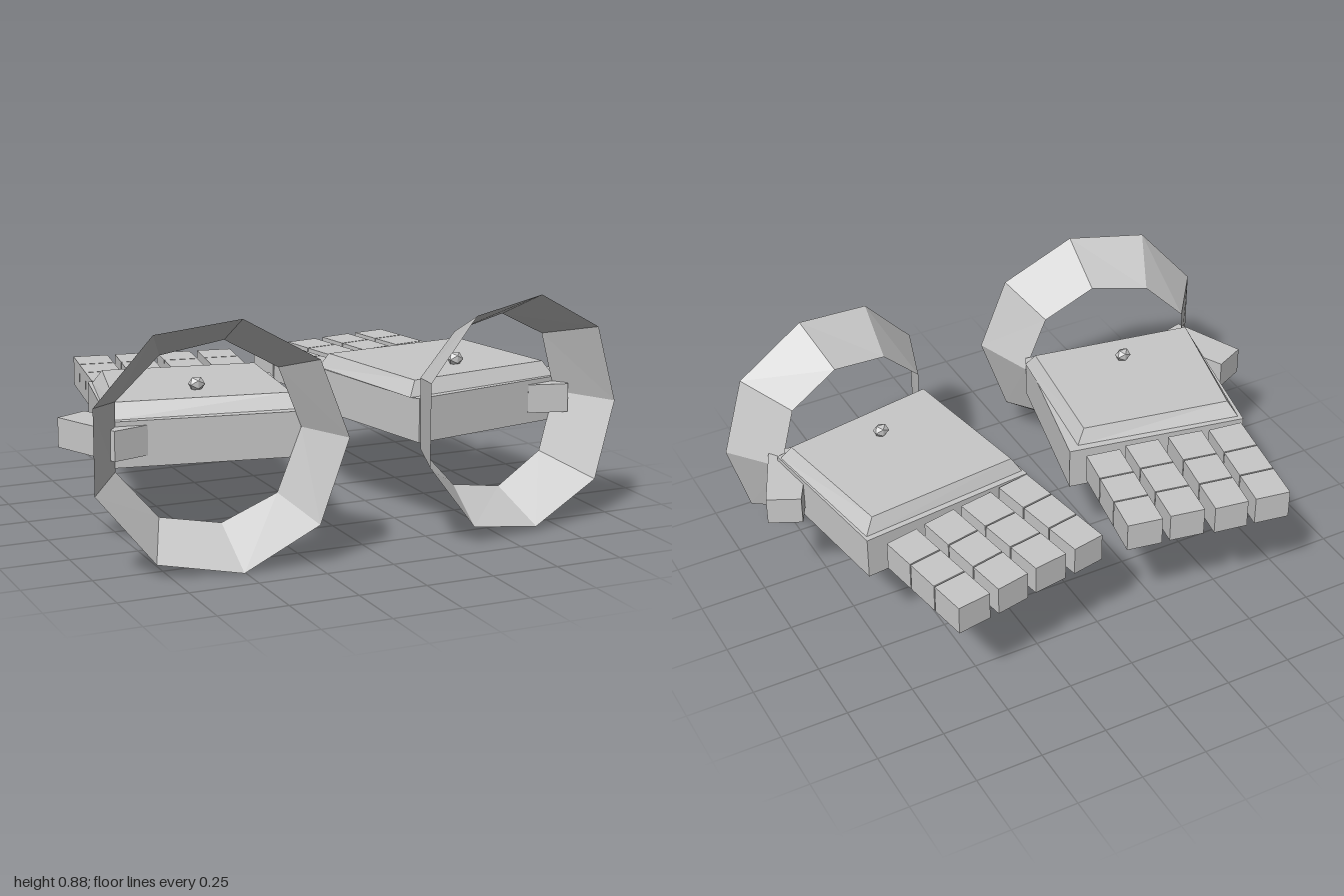
import * as THREE from 'three';

const grey = new THREE.MeshStandardMaterial({ color: 0xc8c8c8, side: THREE.DoubleSide });
grey.name = 'light grey';

// Flat-faced skin over a stack of rings, each ring a list of [x, y, z]
function loft(name, rings, capped = true) {
  const p = [], n = rings[0].length;
  const tri = (...v) => v.forEach((c) => p.push(...c));
  for (let k = 0; k + 1 < rings.length; k++) {
    const a = rings[k], b = rings[k + 1];
    for (let i = 0; i < n; i++) {
      const j = (i + 1) % n;
      tri(a[i], a[j], b[j]);
      tri(a[i], b[j], b[i]);
    }
  }
  if (capped) {
    const lo = rings[0], hi = rings[rings.length - 1];
    for (let i = 1; i + 1 < n; i++) {
      tri(lo[0], lo[i + 1], lo[i]);
      tri(hi[0], hi[i], hi[i + 1]);
    }
  }
  const g = new THREE.BufferGeometry();
  g.setAttribute('position', new THREE.Float32BufferAttribute(p, 3));
  g.computeVertexNormals();
  const m = new THREE.Mesh(g, grey);
  m.name = name;
  return m;
}

// Plan corners run back-left, back-right, front-right, front-left
const level = (plan, y) => plan.map(([x, z]) => [x, y, z]).reverse();
const slab = (name, plan, y0, y1) => loft(name, [level(plan, y0), level(plan, y1)]);
const mix = (a, b, t) => [a[0] + (b[0] - a[0]) * t, a[1] + (b[1] - a[1]) * t];

function finger(plan) {
  const g = new THREE.Group();
  g.name = 'finger';
  const [bl, br, fr, fl] = plan, gap = 0.006;
  for (let s = 0; s < 3; s++) {
    const t0 = s / 3 + (s ? gap : 0), t1 = (s + 1) / 3 - (s < 2 ? gap : 0);
    g.add(slab('fingerSegment', [mix(bl, fl, t0), mix(br, fr, t0), mix(br, fr, t1), mix(bl, fl, t1)], 0.393, 0.503));
  }
  return g;
}

function hand(name, d) {
  const g = new THREE.Group();
  g.name = name;
  // Palm block with a bevelled back plate
  g.add(loft('palm', [level(d.base, 0.343), level(d.base, 0.505), level(d.plate, 0.505), level(d.top, 0.558)]));
  d.fingers.forEach((f) => g.add(finger(f)));
  g.add(slab('thumb', d.thumb, 0.382, 0.488));
  // Flared open cuff
  const ring = (pts, [z0, slope]) => pts.map(([x, y]) => [x, y, z0 + slope * x]);
  g.add(loft('cuff', [ring(d.cuffInner, d.innerPlane), ring(d.cuffOuter, d.outerPlane)], false));
  // Small stud on the back of the hand
  const stud = new THREE.Mesh(new THREE.IcosahedronGeometry(1, 0), grey);
  stud.name = 'stud';
  stud.scale.set(0.032, 0.027, 0.024);
  stud.position.set(d.studX, 0.577, 0.228);
  g.add(stud);
  return g;
}

const rightHand = {
  base: [[-0.755, -0.257], [-0.085, -0.13], [-0.225, 0.475], [-0.88, 0.36]],
  plate: [[-0.745, -0.235], [-0.13, -0.11], [-0.205, 0.44], [-0.875, 0.335]],
  top: [[-0.72, -0.195], [-0.165, -0.09], [-0.23, 0.405], [-0.84, 0.3]],
  fingers: [
    [[-0.665, -0.705], [-0.535, -0.683], [-0.605, -0.255], [-0.735, -0.272]],
    [[-0.505, -0.68], [-0.38, -0.66], [-0.45, -0.22], [-0.58, -0.245]],
    [[-0.345, -0.645], [-0.218, -0.622], [-0.285, -0.192], [-0.41, -0.215]],
    [[-0.187, -0.62], [-0.058, -0.597], [-0.128, -0.178], [-0.255, -0.2]],
  ],
  thumb: [[-1, 0.155], [-0.885, 0.1], [-0.745, 0.38], [-0.885, 0.42]],
  cuffOuter: [[-0.8, 0.84], [-0.505, 0.88], [-0.245, 0.73], [-0.145, 0.455], [-0.245, 0.155], [-0.505, 0.003], [-0.8, 0.055], [-1, 0.305], [-1, 0.605]],
  cuffInner: [[-0.71, 0.727], [-0.49, 0.77], [-0.305, 0.665], [-0.225, 0.45], [-0.31, 0.22], [-0.505, 0.125], [-0.72, 0.16], [-0.865, 0.33], [-0.86, 0.575]],
  outerPlane: [0.727, 0.182],
  innerPlane: [0.517, 0.18],
  studX: -0.515,
};

const leftHand = {
  base: [[0.112, -0.168], [0.78, -0.242], [0.868, 0.35], [0.233, 0.475]],
  plate: [[0.122, -0.145], [0.772, -0.22], [0.86, 0.335], [0.21, 0.448]],
  top: [[0.155, -0.125], [0.735, -0.19], [0.825, 0.312], [0.245, 0.412]],
  fingers: [
    [[0.045, -0.597], [0.167, -0.62], [0.24, -0.192], [0.115, -0.17]],
    [[0.205, -0.625], [0.333, -0.645], [0.405, -0.222], [0.277, -0.2]],
    [[0.37, -0.655], [0.495, -0.68], [0.563, -0.25], [0.437, -0.225]],
    [[0.53, -0.685], [0.657, -0.705], [0.725, -0.285], [0.6, -0.26]],
  ],
  thumb: [[0.882, 0.1], [0.995, 0.155], [0.875, 0.42], [0.73, 0.38]],
  cuffOuter: [[0.36, 0.825], [0.645, 0.87], [0.91, 0.725], [0.998, 0.44], [0.915, 0.155], [0.645, 0.02], [0.365, 0.065], [0.168, 0.31], [0.168, 0.61]],
  cuffInner: [[0.385, 0.73], [0.6, 0.77], [0.79, 0.675], [0.855, 0.45], [0.79, 0.23], [0.6, 0.125], [0.39, 0.165], [0.24, 0.32], [0.235, 0.58]],
  outerPlane: [0.719, -0.175],
  innerPlane: [0.522, -0.2],
  studX: 0.505,
};

export function createModel() {
  const model = new THREE.Group();
  model.name = 'gauntlets';
  model.add(hand('rightGauntlet', rightHand), hand('leftGauntlet', leftHand));
  return model;
}
